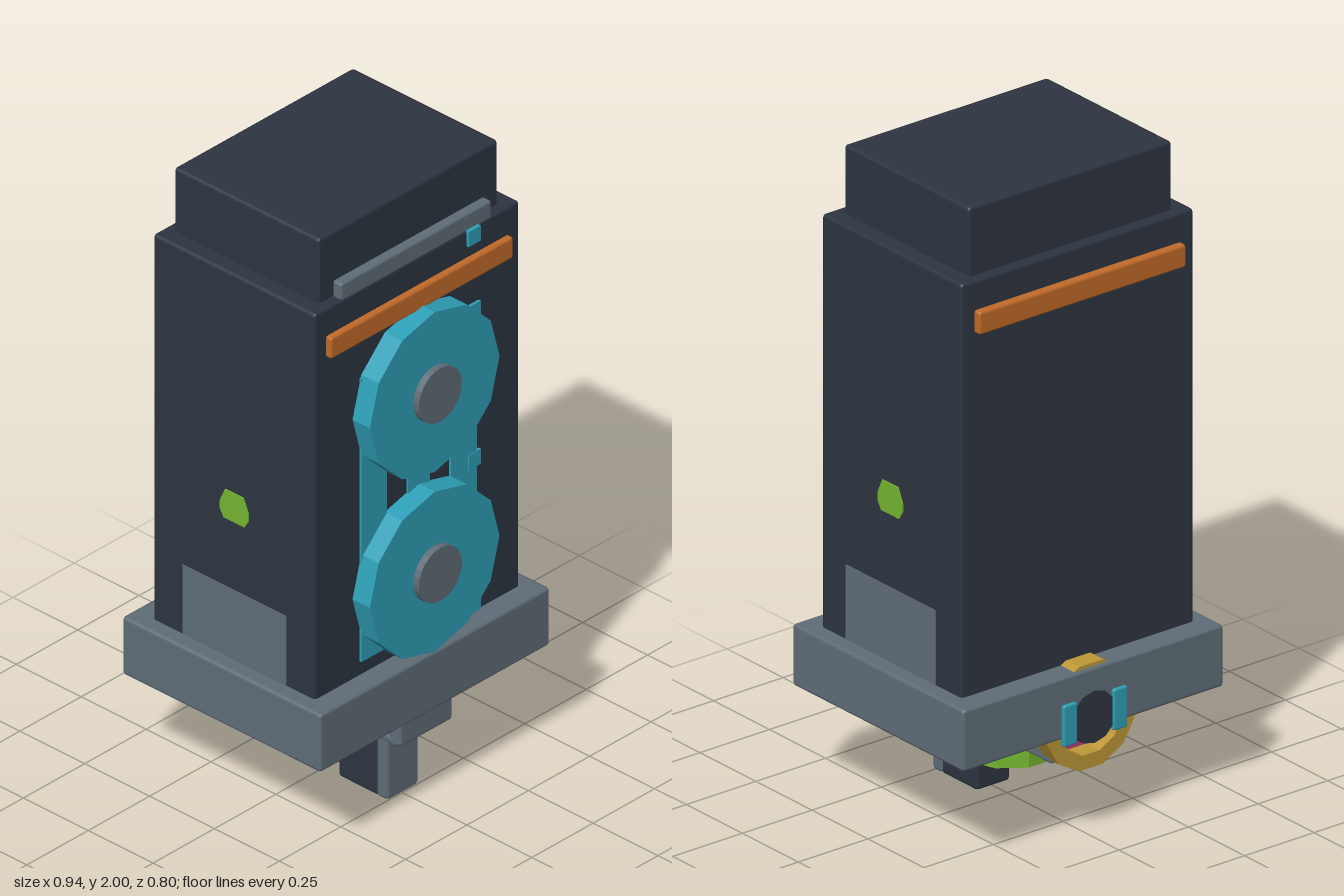
import * as THREE from 'three';
import { RoundedBoxGeometry } from 'three/addons/geometries/RoundedBoxGeometry.js';

const mat = (name, color) => {
  const m = new THREE.MeshStandardMaterial({ color });
  m.name = name;
  return m;
};

export function createModel() {
  const root = new THREE.Group();
  const dark = mat('dark slate', 0x2d3541);
  const grey = mat('steel grey', 0x5f6d77);
  const teal = mat('teal', 0x2e9fb7);
  const orange = mat('orange', 0xc06a28);
  const green = mat('green', 0x74b530);
  const pink = mat('pink', 0xb93a7c);
  const purple = mat('purple', 0x8a4cbf);
  const gold = mat('gold', 0xbd9737);

  const add = (name, geo, m) => {
    const mesh = new THREE.Mesh(geo, m);
    mesh.name = name;
    root.add(mesh);
    return mesh;
  };
  // Box given by its limits on each axis, with an optional bevel
  const box = (name, m, x0, x1, y0, y1, z0, z1, bevel = 0) => {
    const s = [x1 - x0, y1 - y0, z1 - z0];
    const g = bevel ? new RoundedBoxGeometry(...s, 1, bevel) : new THREE.BoxGeometry(...s);
    return add(name, g.translate((x0 + x1) / 2, (y0 + y1) / 2, (z0 + z1) / 2), m);
  };
  // Faceted disc lying along z
  const disc = (name, m, r, x, y, z0, z1, sides, turn = 0) => {
    const g = new THREE.CylinderGeometry(r, r, z1 - z0, sides).toNonIndexed();
    g.computeVertexNormals();
    g.rotateY(turn).rotateX(Math.PI / 2).translate(x, y, (z0 + z1) / 2);
    return add(name, g, m);
  };

  // Housing
  box('base', grey, -0.468, 0.468, 0.33, 0.52, -0.387, 0.378, 0.01);
  box('body', dark, -0.417, 0.417, 0.5, 1.79, -0.316, 0.309, 0.01);
  box('cap', dark, -0.365, 0.365, 1.77, 2, -0.284, 0.275, 0.01);
  box('topLedge', grey, -0.307, 0.307, 1.775, 1.84, 0.27, 0.306, 0.008);
  box('frontStripe', orange, -0.372, 0.372, 1.63, 1.7, 0.3, 0.329, 0.008);
  box('backStripe', orange, -0.372, 0.372, 1.63, 1.7, -0.34, -0.305, 0.008);

  // Side panels and indicator lights
  for (const s of [-1, 1]) {
    box('sidePanel', grey, s * 0.416 - 0.003, s * 0.416 + 0.003, 0.52, 0.75, -0.2, 0.2);
    const lamp = new THREE.Shape([
      [-0.055, 1.0], [-0.04, 0.975], [0.04, 0.975], [0.055, 1.0],
      [0.055, 1.025], [0.035, 1.07], [-0.035, 1.07], [-0.055, 1.025],
    ].map(([z, y]) => new THREE.Vector2(z, y)));
    const g = new THREE.ExtrudeGeometry(lamp, { depth: 0.009, bevelEnabled: false });
    g.translate(0, 0, -0.0045).rotateY(s * Math.PI / 2).translate(s * 0.4165, 0, 0);
    add('sideLight', g, green);
  }

  // Front reels with their mounting frame
  for (const y of [1.376, 0.783]) {
    disc('reel', teal, 0.264, 0, y, 0.305, 0.376, 12);
    disc('reelHub', grey, 0.088, 0, y, 0.37, 0.398, 24);
  }
  const frame = new THREE.Shape([
    [-0.235, 0.565], [0.235, 0.565], [0.235, 1.5], [-0.235, 1.5],
  ].map(([x, y]) => new THREE.Vector2(x, y)));
  for (const s of [-1, 1]) {
    frame.holes.push(new THREE.Path([
      [s * 0.045, 0.98], [s * 0.13, 0.98], [s * 0.13, 1.155], [s * 0.045, 1.125],
    ].map(([x, y]) => new THREE.Vector2(x, y))));
  }
  add('reelFrame', new THREE.ExtrudeGeometry(frame, { depth: 0.014, bevelEnabled: false })
    .translate(0, 0, 0.302), teal);
  box('guideStrip', teal, 0.205, 0.247, 1.24, 1.52, 0.3, 0.315);
  for (const y of [1.763, 1.515, 1.026, 0.547])
    box('guideClip', teal, 0.2, 0.249, y - 0.025, y + 0.025, 0.3, 0.318);

  // Underside drum
  const drum = new THREE.CylinderGeometry(0.153, 0.153, 0.195, 10).toNonIndexed();
  drum.computeVertexNormals();
  add('drum', drum.rotateY(Math.PI / 2).translate(0, 0.243, -0.011), green);

  // Barrel running front to back, with side rails
  disc('barrel', pink, 0.145, 0, 0.37, -0.315, 0.165, 12, Math.PI / 12);
  for (const s of [-1, 1])
    box('barrelRail', grey, s * 0.105 - 0.018, s * 0.105 + 0.018, 0.245, 0.28, -0.35, -0.1, 0.006);

  // Rear collar, its socket and clips
  const collar = new THREE.Shape();
  const hole = new THREE.Path();
  for (let i = 0; i < 12; i++) {
    const a = (i + 0.5) * Math.PI / 6;
    const c = Math.cos(a), n = Math.sin(a);
    i ? collar.lineTo(0.166 * c, 0.166 * n) : collar.moveTo(0.166 * c, 0.166 * n);
    i ? hole.lineTo(0.12 * c, 0.12 * n) : hole.moveTo(0.12 * c, 0.12 * n);
  }
  collar.holes.push(hole);
  add('collar', new THREE.ExtrudeGeometry(collar, { depth: 0.06, bevelEnabled: false })
    .translate(0, 0.37, -0.375), gold);
  disc('socket', dark, 0.08, 0, 0.37, -0.39, -0.3, 12);
  for (const s of [-1, 1])
    box('rearClip', teal, s * 0.09 - 0.025, s * 0.09 + 0.025, 0.31, 0.437, -0.398, -0.38, 0.006);

  // Front foot assembly
  box('footBlock', purple, -0.1, 0.1, 0.255, 0.335, 0.13, 0.325);
  box('footNose', grey, -0.107, 0.107, 0.235, 0.335, 0.3, 0.345, 0.01);
  box('footPlate', grey, -0.107, 0.107, 0.232, 0.258, 0.15, 0.335, 0.008);
  box('footPost', dark, -0.06, 0.06, 0.01, 0.335, 0.06, 0.22, 0.01);
  box('footPostFace', grey, -0.065, 0.065, 0.012, 0.25, 0.21, 0.255, 0.012);

  // Sit on the ground
  const b = new THREE.Box3().setFromObject(root);
  root.children.forEach((c) => { if (c.name.startsWith('footPost')) c.position.y -= b.min.y; });
  return root;
}
